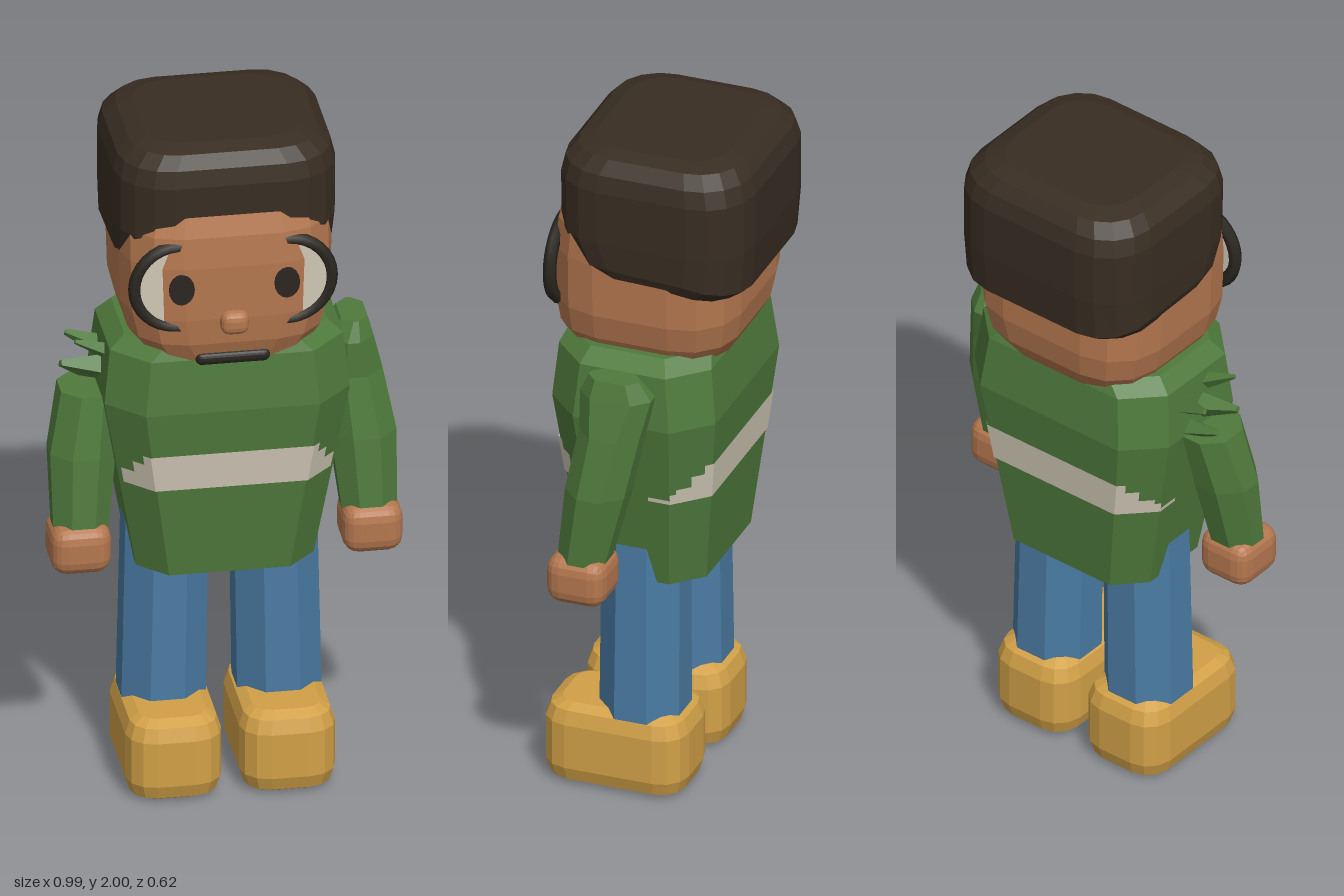
import * as THREE from 'three';
import { RoundedBoxGeometry } from 'three/addons/geometries/RoundedBoxGeometry.js';

const mat = (name, color) => {
  const m = new THREE.MeshStandardMaterial({ color });
  m.name = name;
  return m;
};

// Rounded-rectangle outline in the xz plane, n segments per corner
function outline([y, x0, x1, z0, z1, r], n) {
  const corners = [[x1 - r, z1 - r], [x0 + r, z1 - r], [x0 + r, z0 + r], [x1 - r, z0 + r]];
  return corners.flatMap(([cx, cz], k) => Array.from({ length: n + 1 }, (_, i) => {
    const a = (k + i / n) * Math.PI / 2;
    return new THREE.Vector3(cx + r * Math.cos(a), y, cz + r * Math.sin(a));
  }));
}

function faceted(geo) {
  const g = geo.index ? geo.toNonIndexed() : geo;
  g.computeVertexNormals();
  return g;
}

function fromTriangles(points) {
  return faceted(new THREE.BufferGeometry().setFromPoints(points));
}

// Closed solid through stacked outlines, listed from bottom to top
function loft(rings, n) {
  const loops = rings.map(r => outline(r, n));
  const tris = [], count = loops[0].length;
  const middle = loop => loop.reduce((s, p) => s.add(p), new THREE.Vector3()).divideScalar(count);
  const low = loops[0], high = loops[loops.length - 1];
  const lowMid = middle(low), highMid = middle(high);
  for (let i = 0; i < count; i++) {
    const j = (i + 1) % count;
    for (let k = 0; k + 1 < loops.length; k++) {
      const a = loops[k], b = loops[k + 1];
      tris.push(a[i], b[i], b[j], a[i], b[j], a[j]);
    }
    tris.push(lowMid, low[i], low[j], highMid, high[j], high[i]);
  }
  return fromTriangles(tris);
}

// Symmetric ring about x = 0
const ring = (y, hw, z0, z1, r) => [y, -hw, hw, z0, z1, r];
// Put rings on side s (+1 left, -1 right)
const onSide = (rings, s) => s > 0 ? rings : rings.map(([y, x0, x1, ...rest]) => [y, -x1, -x0, ...rest]);

export function createModel() {
  const model = new THREE.Group();
  model.name = 'figure';
  const skin = mat('skin', 0xb4774f), hairMat = mat('hair', 0x382d22), dark = mat('dark', 0x2b2620);
  const green = mat('sweater green', 0x4f7a3c), cream = mat('cream', 0xd0c8b6);
  const denim = mat('denim', 0x4a7ba3), tan = mat('shoe yellow', 0xd1a047);
  cream.side = THREE.DoubleSide;
  const add = (name, geo, material, x = 0, y = 0, z = 0) => {
    const m = new THREE.Mesh(geo, material);
    m.name = name;
    m.position.set(x, y, z);
    model.add(m);
    return m;
  };

  // Head
  add('head', loft([
    ring(1.33, 0.2, -0.17, 0.2, 0.12), ring(1.36, 0.24, -0.21, 0.25, 0.14),
    ring(1.42, 0.275, -0.245, 0.272, 0.15), ring(1.5, 0.295, -0.26, 0.281, 0.16),
    ring(1.66, 0.3, -0.26, 0.281, 0.16), ring(1.75, 0.3, -0.26, 0.272, 0.16),
    ring(1.83, 0.28, -0.24, 0.247, 0.15), ring(1.9, 0.22, -0.2, 0.2, 0.12),
  ], 3), skin);

  // Hair, lower at the nape
  const hair = loft([
    ring(1.62, 0.295, -0.26, 0.19, 0.14), ring(1.66, 0.31, -0.302, 0.22, 0.15),
    ring(1.74, 0.312, -0.312, 0.253, 0.15), ring(1.9, 0.312, -0.312, 0.255, 0.15),
    ring(1.95, 0.3, -0.298, 0.245, 0.145), ring(1.985, 0.265, -0.268, 0.215, 0.13),
    ring(2.0, 0.22, -0.22, 0.17, 0.11),
  ], 4);
  const hp = hair.attributes.position;
  for (let i = 0; i < hp.count; i++) {
    if (hp.getY(i) < 1.7 && hp.getZ(i) < -0.1) hp.setY(i, hp.getY(i) + (hp.getZ(i) + 0.1) * 0.24);
  }
  add('hair', faceted(hair), hairMat);

  // Face
  add('nose', faceted(new RoundedBoxGeometry(0.08, 0.07, 0.06, 2, 0.025)), skin, 0, 1.49, 0.28);
  const mouth = add('mouth', faceted(new RoundedBoxGeometry(0.21, 0.04, 0.04, 2, 0.018)), dark, 0, 1.368, 0.249);
  mouth.rotation.x = 0.25;
  for (const s of [1, -1]) {
    const eye = add('eye', new THREE.CylinderGeometry(0.036, 0.036, 0.009, 16), dark, s * 0.148, 1.6, 0.282);
    eye.rotation.x = Math.PI / 2;
    eye.scale.z = 1.28;
    const lens = add('lens', new THREE.CylinderGeometry(0.115, 0.115, 0.006, 24), cream, s * 0.148, 1.6, 0.262);
    lens.rotation.x = Math.PI / 2;
    const rim = add('glassesRim', new THREE.TorusGeometry(0.124, 0.019, 6, 18, Math.PI * 1.1), dark, s * 0.152, 1.6, 0.256);
    rim.rotation.z = (s > 0 ? 0 : Math.PI) - Math.PI * 0.55;
  }

  // Sweater body
  const hem = ring(0.67, 0.25, -0.17, 0.2, 0.08), chest = ring(1.2, 0.345, -0.225, 0.26, 0.1);
  add('sweater', loft([hem, chest, ring(1.36, 0.328, -0.207, 0.246, 0.1), ring(1.4, 0.285, -0.19, 0.23, 0.1)], 1), green);

  // Stepped stripe laid just over the sweater, u runs round its eight corners
  const stripe = [];
  const onSweater = (u, y) => {
    const grown = hem.map((v, i) => THREE.MathUtils.lerp(v, chest[i], (y - 0.67) / 0.53)
      + [0, -0.004, 0.004, -0.004, 0.004, 0][i]);
    const loop = outline(grown, 1), w = (u + 8) % 8, i = Math.floor(w);
    return loop[i].clone().lerp(loop[(i + 1) % 8], w - i);
  };
  const band = (u0, u1, top) => {
    const a = onSweater(u0, 0.953), b = onSweater(u0, top), c = onSweater(u1, top), d = onSweater(u1, 0.953);
    stripe.push(a, b, c, a, c, d);
  };
  const steps = [[0.15, 0.5, 1.0], [0.5, 0.8, 1.035], [0.8, 1, 1.065]];
  for (const base of [0, 4]) {
    band(base + 1, base + 2, 1.065);
    for (const [a, b, top] of steps) {
      band(base + a, base + b, top);
      band(base + 3 - b, base + 3 - a, top);
    }
  }
  for (const [a, b, top] of [[4, 4.15, 0.985], [6.85, 7, 0.985], [3.75, 4, 0.966], [7, 7.25, 0.966]]) band(a, b, top);
  add('stripe', fromTriangles(stripe), cream);

  // Sleeves, hands, legs and shoes
  const sleeve = [
    [0.8, 0.328, 0.483, 0.03, 0.17, 0.045], [1.02, 0.302, 0.487, -0.025, 0.15, 0.055],
    [1.2, 0.29, 0.452, -0.06, 0.12, 0.05], [1.31, 0.3, 0.425, -0.085, 0.125, 0.045],
    [1.365, 0.335, 0.41, -0.05, 0.1, 0.03],
  ];
  for (const s of [1, -1]) {
    const side = s > 0 ? 'left' : 'right';
    add(side + 'Sleeve', loft(onSide(s > 0 ? sleeve : sleeve.slice(0, 3), s), 1), green);
    add(side + 'Hand', faceted(new RoundedBoxGeometry(0.17, 0.145, 0.175, 2, 0.045)), skin, s * 0.41, 0.75, 0.105);
    add(side + 'Leg', loft(onSide([
      [0.15, 0.045, 0.283, -0.105, 0.133, 0.07], [0.85, 0.035, 0.268, -0.1, 0.13, 0.07],
    ], s), 1), denim);
    add(side + 'Shoe', loft(onSide([
      [0, 0.065, 0.255, -0.095, 0.245, 0.05], [0.015, 0.038, 0.282, -0.122, 0.272, 0.07],
      [0.055, 0.025, 0.295, -0.135, 0.286, 0.08], [0.19, 0.025, 0.295, -0.135, 0.286, 0.08],
      [0.23, 0.038, 0.282, -0.12, 0.272, 0.07], [0.247, 0.065, 0.255, -0.09, 0.24, 0.05],
    ], s), 3), tan);
  }

  // Torn shreds at the right shoulder: base, tip, thickness
  const shreds = [
    [[-0.31, 1.31, 0.06], [-0.415, 1.36, 0.08], 0.028], [[-0.31, 1.25, 0.03], [-0.45, 1.28, 0.05], 0.045],
    [[-0.31, 1.28, -0.03], [-0.42, 1.32, -0.06], 0.035], [[-0.31, 1.2, -0.02], [-0.44, 1.24, -0.03], 0.04],
  ];
  for (const [from, to, r] of shreds) {
    const a = new THREE.Vector3(...from), b = new THREE.Vector3(...to), dir = b.clone().sub(a);
    const shred = add('tornSleeve', faceted(new THREE.CylinderGeometry(r * 0.25, r, dir.length(), 4)), green);
    shred.position.copy(a.add(b).multiplyScalar(0.5));
    shred.quaternion.setFromUnitVectors(new THREE.Vector3(0, 1, 0), dir.normalize());
  }
  return model;
}
